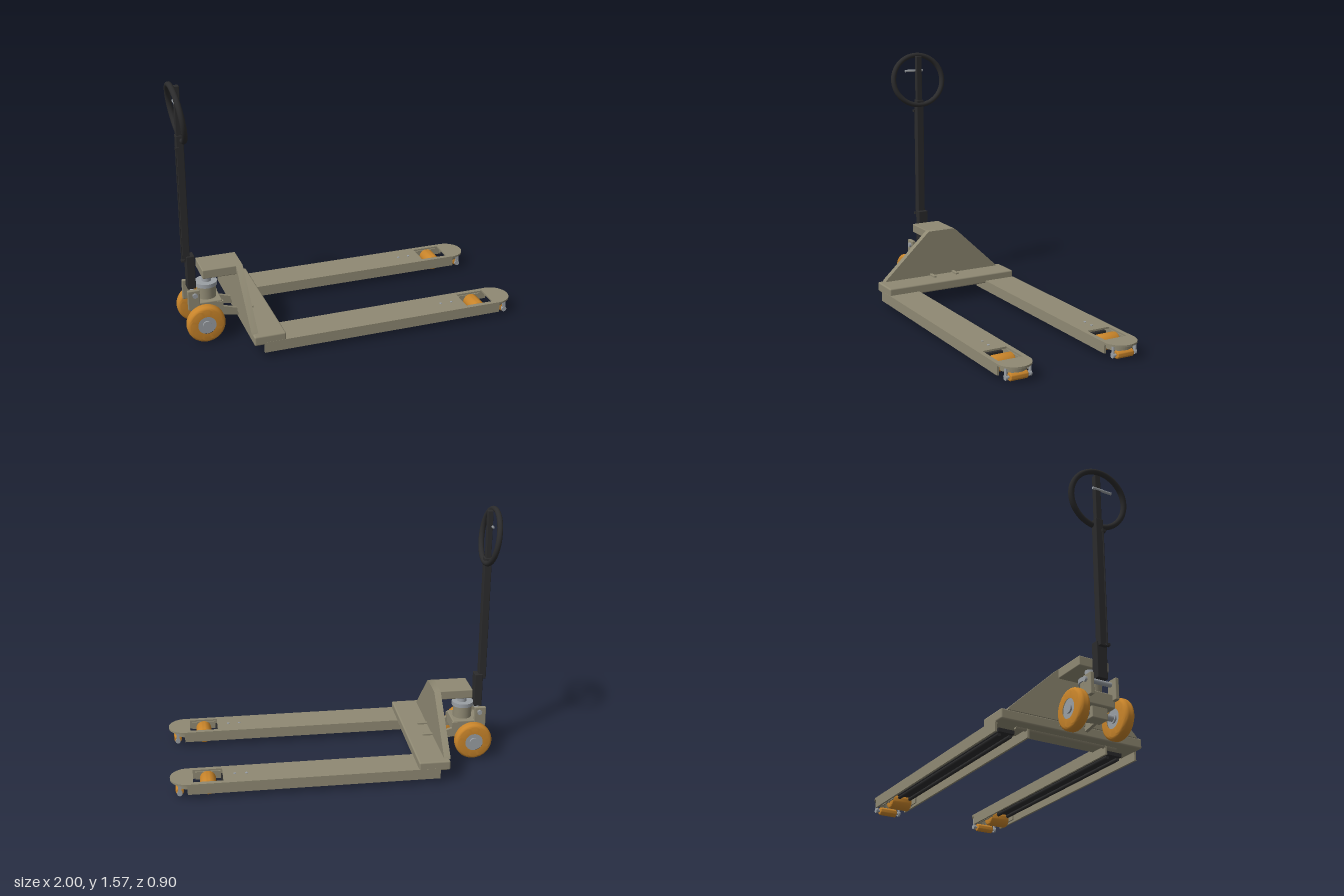
import * as THREE from 'three';
import { toCreasedNormals } from 'three/addons/utils/BufferGeometryUtils.js';
import { RoundedBoxGeometry } from 'three/addons/geometries/RoundedBoxGeometry.js';

const material = (name, color) => {
  const m = new THREE.MeshStandardMaterial({ color });
  m.name = name;
  return m;
};

export function createModel() {
  const root = new THREE.Group();
  root.name = 'handPalletTruck';
  const tan = material('tan paint', 0x8f8973);
  const orange = material('orange polyurethane', 0xc8842a);
  const black = material('black steel', 0x2b2b2c);
  const grey = material('grey metal', 0x9a9fa4);

  const add = (parent, name, geometry, mat, x = 0, y = 0, z = 0) => {
    const mesh = new THREE.Mesh(geometry, mat);
    mesh.name = name;
    mesh.position.set(x, y, z);
    parent.add(mesh);
    return mesh;
  };
  const group = (name, parent = root) => {
    const g = new THREE.Group();
    g.name = name;
    parent.add(g);
    return g;
  };
  // Box given by its limits along each axis
  const box = (parent, name, mat, x0, x1, y0, y1, z0, z1, r = 0) => {
    const s = [x1 - x0, y1 - y0, z1 - z0];
    const geo = r ? new RoundedBoxGeometry(...s, 2, r) : new THREE.BoxGeometry(...s);
    return add(parent, name, geo, mat, (x0 + x1) / 2, (y0 + y1) / 2, (z0 + z1) / 2);
  };
  const cylY = (r, h, seg = 32) => new THREE.CylinderGeometry(r, r, h, seg);
  const cylZ = (r, h, seg = 32) => cylY(r, h, seg).rotateX(Math.PI / 2);
  const polygon = (pts) => new THREE.Shape(pts.map((p) => new THREE.Vector2(...p)));
  const extrude = (shape, depth) =>
    toCreasedNormals(new THREE.ExtrudeGeometry(shape, { depth, bevelEnabled: false, curveSegments: 24 }), 0.6);
  // Wheel with rounded shoulders, its axle along z
  const tyre = (r, width, inner, round) => {
    const pts = [[inner, -width / 2]];
    for (let side = -1; side <= 1; side += 2) {
      for (let i = 0; i <= 6; i++) {
        const a = (side < 0 ? i - 6 : i) * Math.PI / 12;
        pts.push([r - round + round * Math.cos(a), side * (width / 2 - round) + round * Math.sin(a)]);
      }
    }
    pts.push([inner, width / 2]);
    const geo = new THREE.LatheGeometry(pts.map((p) => new THREE.Vector2(...p)), 40);
    return toCreasedNormals(geo.rotateX(Math.PI / 2), 0.6);
  };

  // Fork top plate: rounded nose and a window for the load roller
  const plate = new THREE.Shape();
  plate.moveTo(-0.6, -0.103);
  plate.lineTo(0.897, -0.103);
  plate.absarc(0.897, 0, 0.103, -Math.PI / 2, Math.PI / 2, false);
  plate.lineTo(-0.6, 0.103);
  plate.closePath();
  plate.holes.push(new THREE.Path([[0.69, -0.075], [0.69, 0.075], [0.865, 0.075], [0.865, -0.075]]
    .map((p) => new THREE.Vector2(...p))));
  const plateGeo = extrude(plate, 0.011).rotateX(-Math.PI / 2);

  // Curved stiffener below the nose
  const rim = new THREE.Shape();
  rim.absarc(0, 0, 0.08, -Math.PI / 2, Math.PI / 2, false);
  rim.absarc(0, 0, 0.07, Math.PI / 2, -Math.PI / 2, true);
  const rimGeo = extrude(rim, 0.034).rotateX(-Math.PI / 2);

  for (const side of [-1, 1]) {
    const fork = group(side > 0 ? 'frontFork' : 'rearFork');
    fork.position.z = side * 0.345;
    add(fork, 'forkPlate', plateGeo, tan, 0, 0.09, 0);
    add(fork, 'noseRim', rimGeo, tan, 0.885, 0.058, 0);
    for (const s of [-1, 1]) {
      box(fork, 'forkWall', tan, -0.6, 0.9, 0.035, 0.092, s * 0.097 - 0.006, s * 0.097 + 0.006);
      box(fork, 'rollerBracket', tan, 0.7, 0.85, 0.04, 0.088, s * 0.075 - 0.004, s * 0.075 + 0.004);
      // Push rods under the plate
      const rod = cylY(0.011, 1.22, 12).rotateZ(Math.PI / 2);
      add(fork, 'pushRod', rod, black, 0.09, 0.056, s * 0.034);
      // Nose roller hangers
      box(fork, 'noseHanger', grey, 0.935, 0.955, 0.03, 0.092, s * 0.075 - 0.004, s * 0.075 + 0.004);
      add(fork, 'noseHangerEnd', cylZ(0.016, 0.012, 20), grey, 0.945, 0.034, s * 0.075);
    }
    box(fork, 'pushChannel', black, -0.54, 0.7, 0.064, 0.085, -0.048, 0.048);
    add(fork, 'loadRoller', tyre(0.048, 0.13, 0.014, 0.012), orange, 0.777, 0.053, 0);
    add(fork, 'loadRollerAxle', cylZ(0.014, 0.17, 16), grey, 0.777, 0.053, 0);
    add(fork, 'noseRoller', tyre(0.024, 0.11, 0.008, 0.006), orange, 0.945, 0.034, 0);
    add(fork, 'noseRollerAxle', cylZ(0.008, 0.16, 12), grey, 0.945, 0.034, 0);
    for (const x of [0.55, 0.62]) add(fork, 'plateRivet', cylY(0.008, 0.006, 16), grey, x, 0.101, 0);
  }

  // Cross beam and triangular upright
  const frame = group('frame');
  box(frame, 'crossBeam', tan, -0.66, -0.47, 0.085, 0.145, -0.447, 0.447, 0.01);
  const upright = polygon([[-0.41, 0.14], [0.41, 0.14], [0.4, 0.155], [0.105, 0.432], [0.09, 0.442],
    [-0.09, 0.442], [-0.105, 0.432], [-0.4, 0.155]]);
  add(frame, 'upright', extrude(upright, 0.04).rotateY(Math.PI / 2), tan, -0.667, 0, 0);
  box(frame, 'topBracket', tan, -0.87, -0.632, 0.385, 0.442, -0.095, 0.095, 0.006);
  const arm = polygon([[-0.79, 0.22], [-0.75, 0.22], [-0.75, 0.185], [-0.62, 0.145], [-0.56, 0.135],
    [-0.56, 0.09], [-0.64, 0.108], [-0.76, 0.13], [-0.79, 0.13]]);
  for (const s of [-1, 1]) {
    box(frame, 'beamLug', tan, -0.63, -0.565, 0.14, 0.157, s * 0.08 - 0.01, s * 0.08 + 0.01, 0.004);
    add(frame, 'liftArm', extrude(arm, 0.02), tan, 0, 0, s * 0.08 - 0.01);
  }
  add(frame, 'liftShaft', cylZ(0.014, 0.64, 16), tan, -0.585, 0.088, 0);

  // Hydraulic pump
  const pump = group('pump');
  add(pump, 'pumpBody', cylY(0.058, 0.2), tan, -0.832, 0.21, 0);
  add(pump, 'pumpCollar', cylY(0.067, 0.024), grey, -0.832, 0.318, 0);
  add(pump, 'piston', cylY(0.028, 0.07), grey, -0.828, 0.355, 0);
  box(pump, 'pumpBase', tan, -0.93, -0.755, 0.15, 0.23, -0.085, 0.085, 0.008);
  box(pump, 'axleBlock', tan, -0.91, -0.83, 0.085, 0.16, -0.05, 0.05, 0.006);
  for (const s of [-1, 1]) {
    box(pump, 'yokePlate', tan, -0.962, -0.89, 0.19, 0.315, s * 0.078 - 0.012, s * 0.078 + 0.012, 0.005);
    add(pump, 'yokeBolt', cylZ(0.016, 0.014, 6), grey, -0.92, 0.285, s * 0.096);
  }
  add(pump, 'yokePin', cylZ(0.014, 0.15, 16), grey, -0.92, 0.285, 0);

  // Steering wheels
  const steering = group('steeringWheels');
  add(steering, 'axle', cylZ(0.018, 0.3, 20), grey, -0.872, 0.12, 0);
  for (const s of [-1, 1]) {
    add(steering, 'tyre', tyre(0.116, 0.068, 0.055, 0.024), orange, -0.872, 0.12, s * 0.138);
    add(steering, 'hub', cylZ(0.058, 0.054), grey, -0.872, 0.12, s * 0.138);
    add(steering, 'hubCap', cylZ(0.026, 0.074, 20), grey, -0.872, 0.12, s * 0.138);
  }

  // Pull handle
  const handle = group('handle');
  box(handle, 'handleSocket', black, -0.948, -0.898, 0.3, 0.512, -0.032, 0.032, 0.004);
  box(handle, 'handleShaft', black, -0.968, -0.924, 0.48, 1.262, -0.024, 0.024, 0.004);
  box(handle, 'handleNeck', black, -0.965, -0.933, 1.25, 1.55, -0.018, 0.018, 0.003);
  add(handle, 'releaseRod', cylY(0.004, 0.72, 8), black, -0.972, 0.84, 0.018);
  for (const y of [0.49, 1.188]) box(handle, 'rodGuide', black, -0.977, -0.955, y - 0.007, y + 0.007, 0.01, 0.034);
  const ring = new THREE.TorusGeometry(0.176, 0.017, 16, 64).rotateY(Math.PI / 2).scale(1, 0.93, 1)
    .rotateZ(0.155);
  add(handle, 'gripRing', ring, black, -0.957, 1.392, 0);
  add(handle, 'releaseLever', cylZ(0.008, 0.125, 12), grey, -0.962, 1.455, 0.027);

  return root;
}
